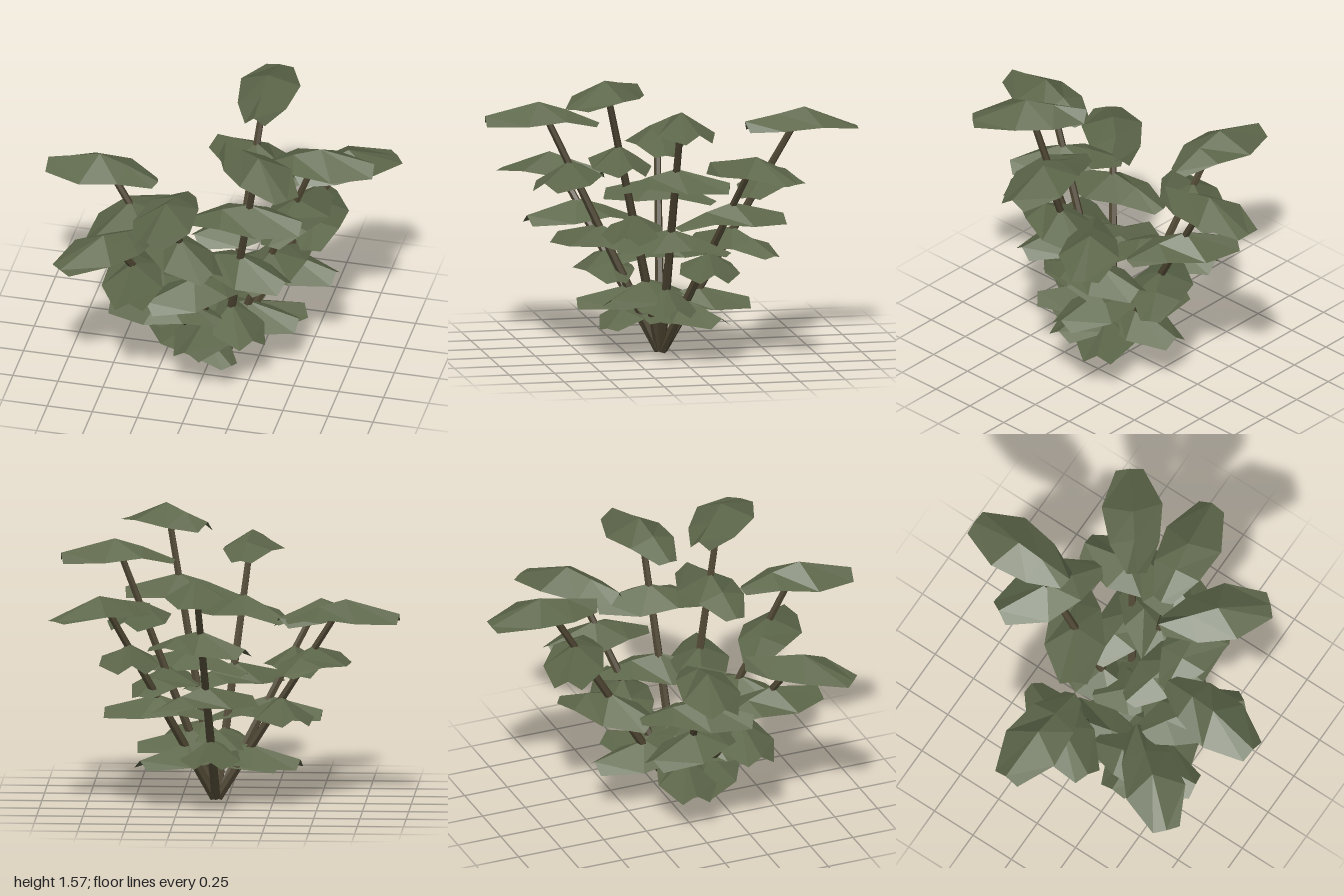
import * as THREE from 'three';

const leafMaterial = new THREE.MeshStandardMaterial({ color: 0x5d674a, flatShading: true, side: THREE.DoubleSide });
const stemMaterial = new THREE.MeshStandardMaterial({ color: 0x4d4532, flatShading: true });

// Folded leaf along +x, its peak at the origin; heights of the ridge and the edges run from inner to outer end
function makeLeafGeometry(ridgeY, edgeY) {
  const ridgeX = [-0.33, -0.15, 0, 0.29];
  const edgeX = [-0.31, -0.14, 0.07, 0.285];
  const halfWidth = [0.055, 0.135, 0.165, 0.075];
  const points = [], index = [];
  ridgeX.forEach((x, i) => {
    points.push(edgeX[i], edgeY[i], -halfWidth[i], x, ridgeY[i], 0, edgeX[i], edgeY[i], halfWidth[i]);
    if (i === 0) return;
    for (let k = 0; k < 2; k++) {
      const a = (i - 1) * 3 + k, b = a + 3;
      index.push(a, a + 1, b + 1, a, b + 1, b);
    }
  });
  const geometry = new THREE.BufferGeometry();
  geometry.setAttribute('position', new THREE.Float32BufferAttribute(points, 3));
  geometry.setIndex(index);
  geometry.computeVertexNormals();
  return geometry;
}

// Tapered six-sided stem between two points
function makeStem(from, to) {
  const along = to.clone().sub(from);
  const stem = new THREE.Mesh(new THREE.CylinderGeometry(0.018, 0.027, along.length(), 6), stemMaterial);
  stem.position.copy(from).addScaledVector(along, 0.5);
  stem.quaternion.setFromUnitVectors(new THREE.Vector3(0, 1, 0), along.normalize());
  stem.name = 'stem';
  return stem;
}

// Stem tips, the heading (x, z) of the leaves from the top down, and whether the top leaf droops outward
const branches = [
  { tip: [0.13, 1.34, -0.71], droops: true, headings: [[0, -1], [-0.85, -0.5], [-0.8, 0.5], [0, -1]] },
  { tip: [0.67, 1.18, -0.33], droops: true, headings: [[0.78, -0.6], [-0.12, -1], [1, 0.1], [0.8, -0.5]] },
  { tip: [0.61, 1.43, 0.07], droops: false, headings: [[1, -0.13], [0.25, -1], [-0.4, 1], [1, 0]] },
  { tip: [0.35, 1.57, 0.44], droops: true, headings: [[0.7, 0.68], [1, -0.05], [1, 0.35], [0.6, 0.8]] },
  { tip: [-0.1, 1.38, 0.71], droops: false, headings: [[-0.14, 1], [0.8, 0.65], [-0.8, 0.65], [-0.2, 1]] },
  { tip: [-0.48, 1.03, 0.57], droops: true, headings: [[-0.66, 0.76], [0.15, 1], [-1, 0], [-0.8, -0.6]] },
  { tip: [-0.65, 1.13, -0.06], droops: false, headings: [[-1, -0.06], [-0.45, 0.9], [-0.35, -1], [-1, -0.2]] },
];

export function createModel() {
  const plant = new THREE.Group();
  plant.name = 'plant';
  const raisedLeaf = makeLeafGeometry([-0.12, -0.045, 0, -0.075], [-0.135, -0.09, -0.11, -0.125]);
  const droopingLeaf = makeLeafGeometry([-0.07, -0.035, 0, -0.115], [-0.125, -0.11, -0.09, -0.12]);
  const root = new THREE.Vector3(0.06, 0, 0.07);

  branches.forEach(({ tip, droops, headings }) => {
    const branch = new THREE.Group();
    branch.name = 'branch';
    const top = new THREE.Vector3(...tip);
    branch.add(makeStem(root.clone().lerp(top, 0.015), root.clone().lerp(top, 0.98)));

    // Leaves spaced evenly down the stem; only a top leaf may droop
    headings.forEach(([x, z], i) => {
      const leaf = new THREE.Mesh(i === 0 && droops ? droopingLeaf : raisedLeaf, leafMaterial);
      leaf.position.copy(root).lerp(top, 1 - i * 0.25);
      if (i > 0) leaf.position.y += i === 3 ? 0.035 : 0.02;
      leaf.rotation.y = Math.atan2(-z, x);
      leaf.name = 'leaf';
      branch.add(leaf);
    });
    plant.add(branch);
  });
  return plant;
}
